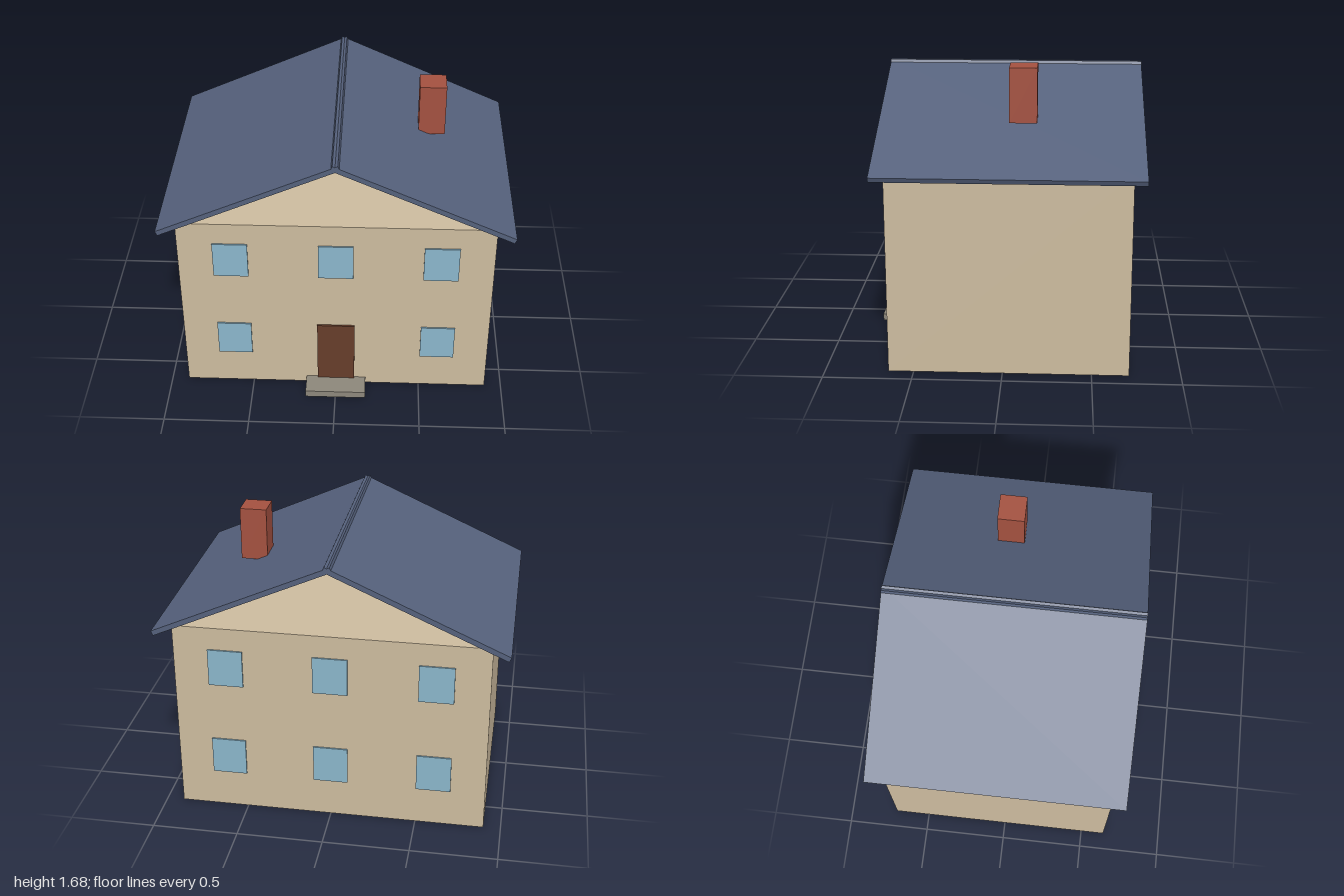
import * as THREE from 'three';

const mat = (name, color) => {
  const m = new THREE.MeshStandardMaterial({ color });
  m.name = name;
  return m;
};

export function createModel() {
  const house = new THREE.Group();
  house.name = 'house';

  const plaster = mat('tan plaster', 0xcdbc9f);
  const slate = mat('blue slate', 0x55617c);
  const glass = mat('blue glass', 0x8bb6cb);
  const wood = mat('dark brown wood', 0x663d2a);
  const brick = mat('red brick', 0xa45140);
  const stone = mat('grey stone', 0x8d877b);

  // Box given by its minimum and maximum corners
  const box = (name, material, [x0, y0, z0], [x1, y1, z1]) => {
    const mesh = new THREE.Mesh(new THREE.BoxGeometry(x1 - x0, y1 - y0, z1 - z0), material);
    mesh.position.set((x0 + x1) / 2, (y0 + y1) / 2, (z0 + z1) / 2);
    mesh.name = name;
    house.add(mesh);
    return mesh;
  };

  const front = 0.643, back = -0.71;

  // Walls, open under the gables
  box('walls', plaster, [-0.9, 0, back], [0.9, 1.17, front]);

  // Two roof slabs that cross slightly at the ridge
  const eave = new THREE.Vector2(1.0, 1.16), ridge = new THREE.Vector2(-0.015, 1.615);
  const thickness = 0.03;
  const pitch = Math.atan2(ridge.y - eave.y, eave.x - ridge.x);
  const length = eave.distanceTo(ridge);
  for (const side of [-1, 1]) {
    const slab = new THREE.Mesh(new THREE.BoxGeometry(length, thickness, 1.488), slate);
    slab.position.set(
      side * ((eave.x + ridge.x) / 2 - Math.sin(pitch) * thickness / 2),
      (eave.y + ridge.y) / 2 - Math.cos(pitch) * thickness / 2,
      -0.034
    );
    slab.rotation.z = -side * pitch;
    slab.name = side > 0 ? 'roofLeft' : 'roofRight';
    house.add(slab);
  }

  // Chimney
  box('chimney', brick, [0.46, 1.375, -0.18], [0.615, 1.685, -0.025]);

  // Windows: the door takes the place of the lower middle one in front
  for (const x of [-0.6, 0, 0.6]) {
    for (const y of [0.342, 0.924]) {
      const pane = (name, z0, z1) =>
        box(name, glass, [x - 0.1, y - 0.112, z0], [x + 0.1, y + 0.112, z1]);
      if (x !== 0 || y > 0.5) pane('frontWindow', front, front + 0.009);
      pane('backWindow', back - 0.009, back);
    }
  }

  // Door and doorstep
  box('door', wood, [-0.11, 0.01, front], [0.11, 0.455, front + 0.011]);
  box('doorstep', stone, [-0.178, 0, front], [0.178, 0.043, 0.778]);

  return house;
}
